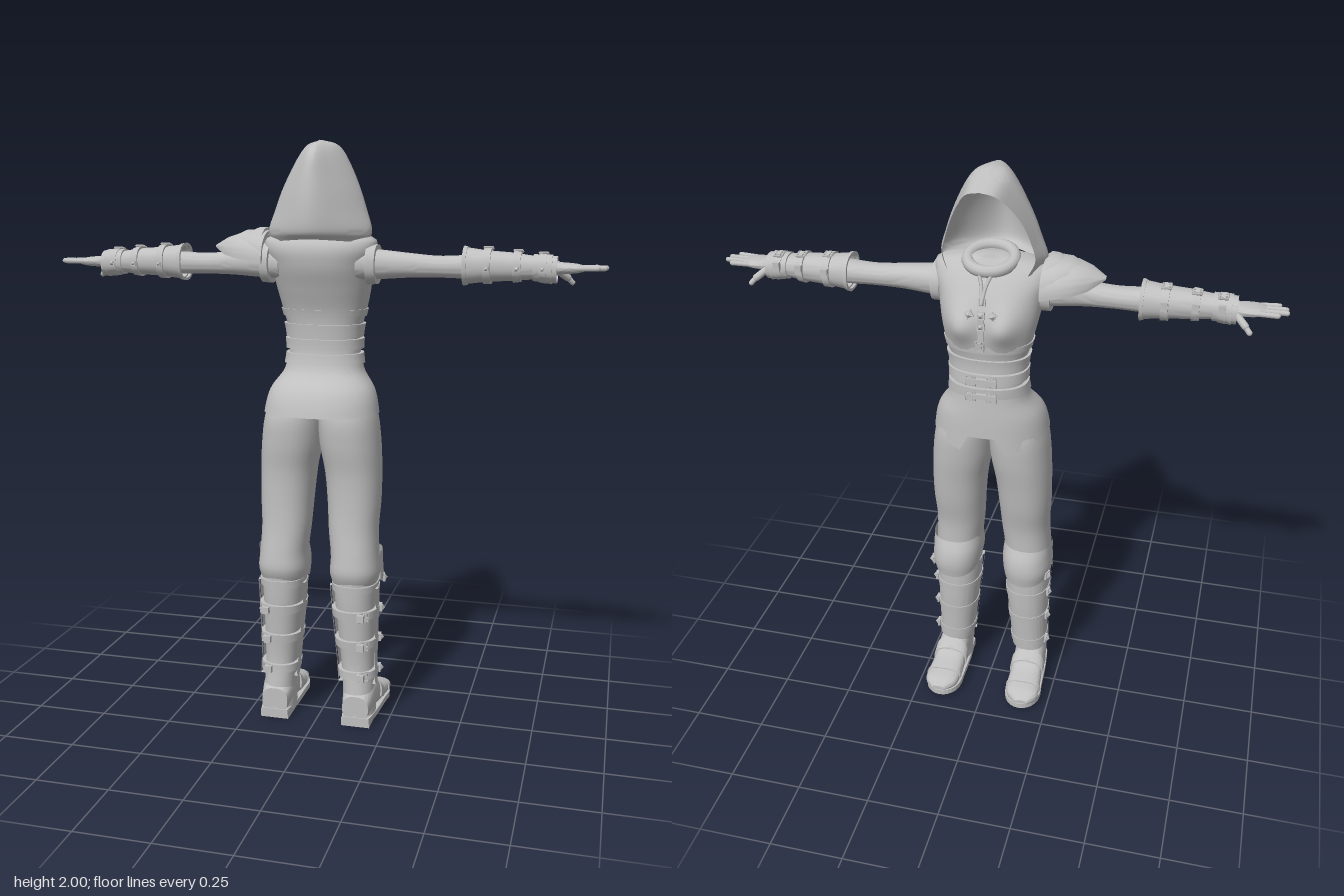
import * as THREE from 'three';
import { toCreasedNormals } from 'three/addons/utils/BufferGeometryUtils.js';

const cloth = new THREE.MeshStandardMaterial({ color: 0xc0c0c0, side: THREE.DoubleSide });
cloth.name = 'light grey';
const TAU = Math.PI * 2;
const V = (x, y, z) => new THREE.Vector3(x, y, z);

function add(parent, name, geo) {
  const m = new THREE.Mesh(geo, cloth);
  m.name = name;
  parent.add(m);
  return m;
}

// Surface over a grid of points f(u, v)
function grid(f, nu, nv, crease = 0.8) {
  const pos = [], idx = [];
  for (let j = 0; j <= nv; j++) for (let i = 0; i <= nu; i++) pos.push(...f(i / nu, j / nv));
  for (let j = 0; j < nv; j++) for (let i = 0; i < nu; i++) {
    const a = j * (nu + 1) + i, b = a + nu + 1;
    idx.push(a, b, a + 1, a + 1, b, b + 1);
  }
  const g = new THREE.BufferGeometry();
  g.setAttribute('position', new THREE.Float32BufferAttribute(pos, 3));
  g.setIndex(idx);
  return toCreasedNormals(g, crease);
}

// Sections are [t, min1, max1, min2, max2]: bounds across the axis at position t
function sampler(sections) {
  const s = [...sections].sort((a, b) => a[0] - b[0]);
  const cubic = new THREE.CubicInterpolant(s.map(r => r[0]), s.flatMap(r => r.slice(1)), 4);
  const fn = t => Array.from(cubic.evaluate(t));
  fn.range = [s[0][0], s[s.length - 1][0]];
  return fn;
}

function rim(axis, t, b, a, grow = 0, n = 2.3) {
  const pw = c => Math.sign(c) * Math.abs(c) ** (2 / n);
  const p = (b[0] + b[1]) / 2 + ((b[1] - b[0]) / 2 + grow) * pw(Math.cos(a));
  const q = (b[2] + b[3]) / 2 + ((b[3] - b[2]) / 2 + grow) * pw(Math.sin(a));
  return axis === 'y' ? [p, t, q] : axis === 'x' ? [t, p, q] : [p, q, t];
}

// Closed limb with end caps
function limb(axis, s, { seg = 32, rows = 28, n = 2.3, warp = p => p } = {}) {
  const [t0, t1] = s.range;
  return grid((u, v) => {
    const k = Math.min(1, Math.max(0, (v * (rows + 2) - 1) / rows)), t = t0 + (t1 - t0) * k;
    const cap = v === 0 || v === 1;
    const b = s(t);
    const m = [(b[0] + b[1]) / 2, (b[2] + b[3]) / 2];
    return warp(rim(axis, t, cap ? [m[0], m[0], m[1], m[1]] : b, u * TAU, 0, n));
  }, seg, rows + 2);
}

// Raised strip round a limb between t0 and t1, over the arc a0..a1
function band(axis, s, t0, t1, grow, a0 = 0, a1 = TAU) {
  const steps = [[0, -0.004], [0, grow], [0.25, grow], [0.5, grow], [0.75, grow], [1, grow], [1, -0.004]];
  return grid((u, v) => {
    const [k, g] = steps[Math.round(v * 6)], t = t0 + (t1 - t0) * k;
    return rim(axis, t, s(t), a0 + (a1 - a0) * u, g);
  }, 32, 6);
}

function facing(parent, name, pos, dir) {
  const g = new THREE.Group();
  g.name = name;
  g.position.copy(pos);
  g.quaternion.setFromUnitVectors(V(0, 0, 1), dir.clone().normalize());
  parent.add(g);
  return g;
}

function buckle(parent, pos, dir, size = 0.022) {
  const g = facing(parent, 'buckle', pos, dir);
  add(g, 'buckleFrame', new THREE.TorusGeometry(size, size * 0.24, 4, 4).rotateZ(Math.PI / 4));
  add(g, 'bucklePin', new THREE.BoxGeometry(size * 1.6, size * 0.3, size * 0.4));
  add(g, 'buckleTongue', new THREE.BoxGeometry(size * 0.7, size * 1.2, size * 0.5));
}

function stud(parent, pos, dir, size = 0.013) {
  const g = facing(parent, 'stud', pos, dir);
  add(g, 'studPlate', new THREE.BoxGeometry(size * 2, size * 2, 0.008));
  const cone = new THREE.ConeGeometry(size, size * 0.8, 4).rotateX(Math.PI / 2).rotateZ(Math.PI / 4);
  add(g, 'studPoint', toCreasedNormals(cone, 0.3)).position.z = 0.004 + size * 0.4;
}

function finger(parent, name, a, b, r) {
  const d = b.clone().sub(a), m = add(parent, name, new THREE.CapsuleGeometry(r, d.length(), 4, 10));
  m.position.copy(a).addScaledVector(d, 0.5);
  m.quaternion.setFromUnitVectors(V(0, 1, 0), d.normalize());
}

function buildLeg() {
  const g = new THREE.Group();
  const trouser = sampler([[1.2, 0, 0.15, -0.09, 0.1], [1.1, -0.005, 0.19, -0.11, 0.145], [1, 0, 0.205, -0.105, 0.145],
    [0.9, 0.018, 0.21, -0.09, 0.132], [0.8, 0.028, 0.21, -0.075, 0.13], [0.7, 0.035, 0.205, -0.055, 0.135],
    [0.6, 0.045, 0.21, -0.05, 0.147], [0.55, 0.042, 0.214, -0.048, 0.15], [0.505, 0.052, 0.203, -0.035, 0.13]]);
  add(g, 'trouserLeg', limb('y', trouser, { rows: 36 }));
  const shin = sampler([[0.53, 0.056, 0.203, -0.035, 0.14], [0.45, 0.06, 0.2, -0.04, 0.135], [0.32, 0.072, 0.197, -0.032, 0.122],
    [0.2, 0.083, 0.196, -0.022, 0.112], [0.1, 0.09, 0.2, -0.02, 0.12], [0.02, 0.088, 0.204, -0.03, 0.126]]);
  add(g, 'bootShaft', limb('y', shin));
  add(g, 'bootCuff', band('y', shin, 0.49, 0.515, 0.007));
  // Front plate and knee guard
  add(g, 'greave', band('y', shin, 0.15, 0.5, 0.01, Math.PI * 0.92, Math.PI * 2.08));
  for (const [a, b] of [[0.9, 0.97], [2.03, 2.1]])
    add(g, 'greaveEdge', band('y', shin, 0.145, 0.5, 0.015, Math.PI * a, Math.PI * b));
  const knee = sampler([[0.48, 0.06, 0.203, -0.068, 0.13], [0.53, 0.052, 0.212, -0.076, 0.14],
    [0.58, 0.05, 0.21, -0.07, 0.14], [0.625, 0.055, 0.21, -0.052, 0.13]]);
  add(g, 'kneeGuard', grid((u, v) => {
    const a = Math.PI * (0.95 + 1.1 * u), drop = 0.04 * Math.abs(2 * u - 1) ** 2;
    const t = 0.48 + drop + (0.145 - drop) * v;
    return rim('y', t, knee(t), a, 0.008);
  }, 24, 10));
  stud(g, V(0.214, 0.51, -0.02), V(1, 0, -0.4), 0.014);
  for (const y of [0.41, 0.3, 0.185]) {
    add(g, 'legStrap', band('y', shin, y - 0.014, y + 0.014, 0.013));
    const b = shin(y);
    stud(g, V(b[1] + 0.014, y, 0.015), V(1, 0, -0.15));
    buckle(g, V(b[1] - 0.02, y, b[3] + 0.006), V(0.5, 0, 1), 0.021);
    add(g, 'strapEnd', new THREE.BoxGeometry(0.025, 0.024, 0.03)).position.set(b[1] - 0.03, y, b[3] + 0.012);
  }
  // Foot
  const foot = sampler([[0.124, 0.1, 0.193, 0.02, 0.11], [0.06, 0.09, 0.204, 0.02, 0.155], [-0.01, 0.093, 0.206, 0.02, 0.145],
    [-0.06, 0.092, 0.21, 0.02, 0.1], [-0.12, 0.092, 0.215, 0.02, 0.08], [-0.17, 0.103, 0.212, 0.022, 0.067], [-0.197, 0.135, 0.185, 0.028, 0.048]]);
  add(g, 'bootFoot', limb('z', foot, { n: 2.6 }));
  add(g, 'bootFlap', band('z', foot, -0.05, -0.02, 0.006, -0.3, Math.PI + 0.3));
  add(g, 'toeSeam', band('z', foot, -0.13, -0.12, 0.004, -0.2, Math.PI + 0.2));
  const sole = new THREE.Shape();
  sole.moveTo(0.1, -0.128);
  sole.bezierCurveTo(0.08, -0.03, 0.09, 0.04, 0.086, 0.12);
  sole.bezierCurveTo(0.09, 0.23, 0.215, 0.23, 0.22, 0.12);
  sole.bezierCurveTo(0.208, 0.04, 0.215, -0.03, 0.195, -0.128);
  add(g, 'sole', new THREE.ExtrudeGeometry(sole, { depth: 0.02, bevelEnabled: false, curveSegments: 12 })
    .rotateX(-Math.PI / 2)).position.y = 0.014;
  add(g, 'heel', new THREE.BoxGeometry(0.1, 0.03, 0.105)).position.set(0.147, 0.015, 0.073);
  return g;
}

function buildArm() {
  const g = new THREE.Group();
  const arm = sampler([[0.13, 1.55, 1.655, -0.025, 0.1], [0.2, 1.553, 1.65, -0.02, 0.088], [0.3, 1.56, 1.64, -0.008, 0.08],
    [0.4, 1.562, 1.632, -0.005, 0.077], [0.5, 1.56, 1.636, -0.008, 0.08], [0.6, 1.565, 1.634, -0.002, 0.077], [0.78, 1.575, 1.62, 0.01, 0.064]]);
  add(g, 'sleeve', limb('x', arm));
  add(g, 'armhole', band('x', arm, 0.165, 0.195, 0.016));
  const bracer = sampler([[0.478, 1.542, 1.66, -0.035, 0.092], [0.52, 1.55, 1.652, -0.028, 0.086], [0.6, 1.553, 1.648, -0.022, 0.083],
    [0.7, 1.562, 1.635, -0.008, 0.077], [0.775, 1.55, 1.635, -0.01, 0.08]]);
  add(g, 'bracer', band('x', bracer, 0.478, 0.775, 0.001));
  add(g, 'bracerCuff', band('x', bracer, 0.478, 0.49, 0.005));
  add(g, 'wristCuff', band('x', bracer, 0.7, 0.76, 0.006));
  for (const x of [0.555, 0.65, 0.73]) {
    const b = bracer(x);
    add(g, 'bracerStrap', band('x', bracer, x - 0.012, x + 0.012, 0.008));
    buckle(g, V(x, b[1] + 0.008, 0.015), V(0, 1, -0.2), 0.019);
    stud(g, V(x, 1.595, b[3] + 0.007), V(0, 0, 1), 0.008);
    add(g, 'strapEnd', new THREE.BoxGeometry(0.022, 0.03, 0.012)).position.set(x, 1.61, b[2] - 0.009);
  }
  // Hand
  const palm = sampler([[0.76, 1.576, 1.618, 0.008, 0.066], [0.8, 1.58, 1.616, -0.004, 0.08], [0.84, 1.584, 1.612, -0.002, 0.085], [0.862, 1.59, 1.606, 0.004, 0.08]]);
  add(g, 'palm', limb('x', palm, { rows: 10 }));
  [[0.006, 0.898], [0.03, 0.925], [0.054, 0.922], [0.077, 0.9]].forEach(([z, x]) =>
    finger(g, 'finger', V(0.84, 1.599, z), V(x, 1.6, z + (z - 0.04) * 0.12), 0.0085));
  finger(g, 'thumb', V(0.775, 1.588, 0.008), V(0.805, 1.565, -0.02), 0.012);
  finger(g, 'thumbTip', V(0.805, 1.565, -0.02), V(0.82, 1.549, -0.03), 0.009);
  return g;
}

function buildTorso() {
  const g = new THREE.Group();
  const body = sampler([[1.22, 0.135, -0.112, 0.085], [1.3, 0.122, -0.118, 0.065], [1.38, 0.126, -0.115, 0.065], [1.44, 0.142, -0.122, 0.073],
    [1.52, 0.16, -0.12, 0.1], [1.6, 0.174, -0.105, 0.128], [1.66, 0.19, -0.07, 0.13], [1.69, 0.175, -0.045, 0.11], [1.715, 0.08, -0.03, 0.075]]
    .map(([y, w, f, b]) => [y, -w, w, f, b]));
  const bust = ([x, y, z]) => [x, y, z < 0 ? z - 0.04 * Math.exp(-(((Math.abs(x) - 0.07) / 0.055) ** 2) - ((y - 1.52) / 0.06) ** 2) : z];
  add(g, 'vest', limb('y', body, { seg: 56, rows: 44, warp: bust }));
  // Corset bands and buckles
  for (const [a, b, w] of [[1.425, 1.45, 0.005], [1.355, 1.4, 0.01], [1.315, 1.35, 0.013], [1.265, 1.3, 0.012]])
    add(g, 'corsetBand', band('y', body, a, b, w));
  for (const y of [1.335, 1.28]) {
    for (const x of [-0.035, 0.035]) buckle(g, V(x, y, -0.14), V(x * 2, 0, -1), 0.021);
    add(g, 'beltTongue', new THREE.BoxGeometry(0.1, 0.018, 0.012)).position.set(0, y, -0.142);
  }
  buckle(g, V(0, 1.47, -0.155), V(0, -0.1, -1), 0.018);
  add(g, 'chestStrap', new THREE.BoxGeometry(0.02, 0.13, 0.008)).position.set(0, 1.505, -0.14);
  for (const [x, y] of [[0, 0], [0.038, 0], [-0.038, 0], [0, 0.038], [0, -0.038]])
    stud(g, V(x, 1.565 + y, -0.139 + Math.max(0, y) * 0.4), V(x * 2, 0.25, -1), 0.012);
  const lace = new THREE.CatmullRomCurve3([V(-0.03, 1.7, -0.065), V(-0.008, 1.65, -0.1), V(0, 1.6, -0.135)]);
  for (const s of [1, -1]) {
    const m = add(g, 'neckLace', new THREE.TubeGeometry(lace, 10, 0.006, 6));
    m.scale.x = s;
  }
  add(g, 'collar', new THREE.TorusGeometry(0.075, 0.02, 10, 32).rotateX(Math.PI / 2 - 0.25)).position.set(0, 1.705, 0);
  // Coat skirt with a slit in front
  const skirt = sampler([[1.27, 0.128, -0.122, 0.075], [1.24, 0.136, -0.124, 0.087], [1.18, 0.176, -0.128, 0.14], [1.1, 0.195, -0.13, 0.17], [1.04, 0.2, -0.132, 0.175]]
    .map(([y, w, f, b]) => [y, -w, w, f, b]));
  add(g, 'coatSkirt', grid((u, v) => {
    const a = -Math.PI / 2 + u * TAU, off = Math.min(u, 1 - u) * TAU;
    const hem = off < 0.35 ? 1.2 - 0.14 * off / 0.35 : 1.1 - 0.04 * Math.max(0, 1 - (off - 0.35) / 1);
    const t = 1.27 + (hem - 1.27) * v;
    return rim('y', t, skirt(t), a, 0.002);
  }, 72, 14));
  add(g, 'innerFlap', grid((u, v) => {
    const t = 1.25 - 0.14 * v;
    return rim('y', t, skirt(t), -Math.PI / 2 + (u - 0.5) * 1.2, -0.01);
  }, 12, 6));
  return g;
}

function buildHood() {
  // Each row, from ridge to hem: back, cheek and front edge
  const rows = [[0, 0.05, 2, 0, 2, 0, -0.15, 1.963], [0.05, 0.12, 1.98, 0, 1.985, 0.045, -0.14, 1.95], [0.087, 0.163, 1.94, 0.01, 1.935, 0.08, -0.1, 1.905],
    [0.128, 0.185, 1.86, 0.03, 1.85, 0.115, -0.062, 1.84], [0.155, 0.195, 1.78, 0.04, 1.775, 0.14, -0.045, 1.77],
    [0.174, 0.192, 1.71, 0.05, 1.71, 0.15, -0.042, 1.72], [0.16, 0.17, 1.685, 0.05, 1.672, 0.13, -0.058, 1.675]];
  const shape = new THREE.CubicInterpolant(rows.map((_, i) => i), rows.flat(), 8);
  return grid((u, v) => {
    const [w, zb, yb, zm, ym, wf, zf, yf] = shape.evaluate(v * 6);
    const half = [V(w * 0.62, (yb + ym) / 2, zb + (zm - zb) * 0.4), V(w, ym, zm), V((w * 0.6 + wf * 0.4), (ym + yf) / 2, (zm + zf) / 2), V(wf, yf, zf)];
    const pts = [...half.map(p => V(-p.x, p.y, p.z)).reverse(), V(0, yb, zb), ...half];
    return new THREE.CatmullRomCurve3(pts).getPoint(u).toArray();
  }, 48, 30);
}

function buildPauldron() {
  const g = new THREE.Group();
  g.name = 'pauldron';
  // Arched plates running out to a point
  const plate = (base, out, drop, w) => sampler([[-out, base + 0.03, 0, 0.004], [-out + 0.03, base + 0.012, 0.035, 0.04 * w],
    [-out + 0.08, base, 0.07, 0.085 * w], [-0.17, base - 0.02, 0.088, 0.115 * w]]
    .map(([x, y, h, r]) => [x, y - h - drop, y + h - drop, 0.04 - r, 0.04 + r]));
  const half = Math.PI / 2;
  add(g, 'lowerPlate', band('x', plate(1.625, 0.365, 0, 1), -0.362, -0.17, 0.004, -half, half));
  add(g, 'upperPlate', band('x', plate(1.632, 0.33, -0.003, 0.95), -0.327, -0.17, 0.006, -half, half));
  add(g, 'topPlate', band('x', plate(1.64, 0.285, -0.004, 0.85), -0.282, -0.18, 0.006, -half, half));
  return g;
}

export function createModel() {
  const model = new THREE.Group();
  model.name = 'hoodedFigure';
  for (const s of [1, -1]) for (const [name, build] of [['Leg', buildLeg], ['Arm', buildArm]]) {
    const part = build();
    part.name = (s > 0 ? 'left' : 'right') + name;
    part.scale.x = s;
    model.add(part);
  }
  const torso = buildTorso();
  torso.name = 'torso';
  model.add(torso, buildPauldron());
  add(model, 'hood', buildHood());
  return model;
}
